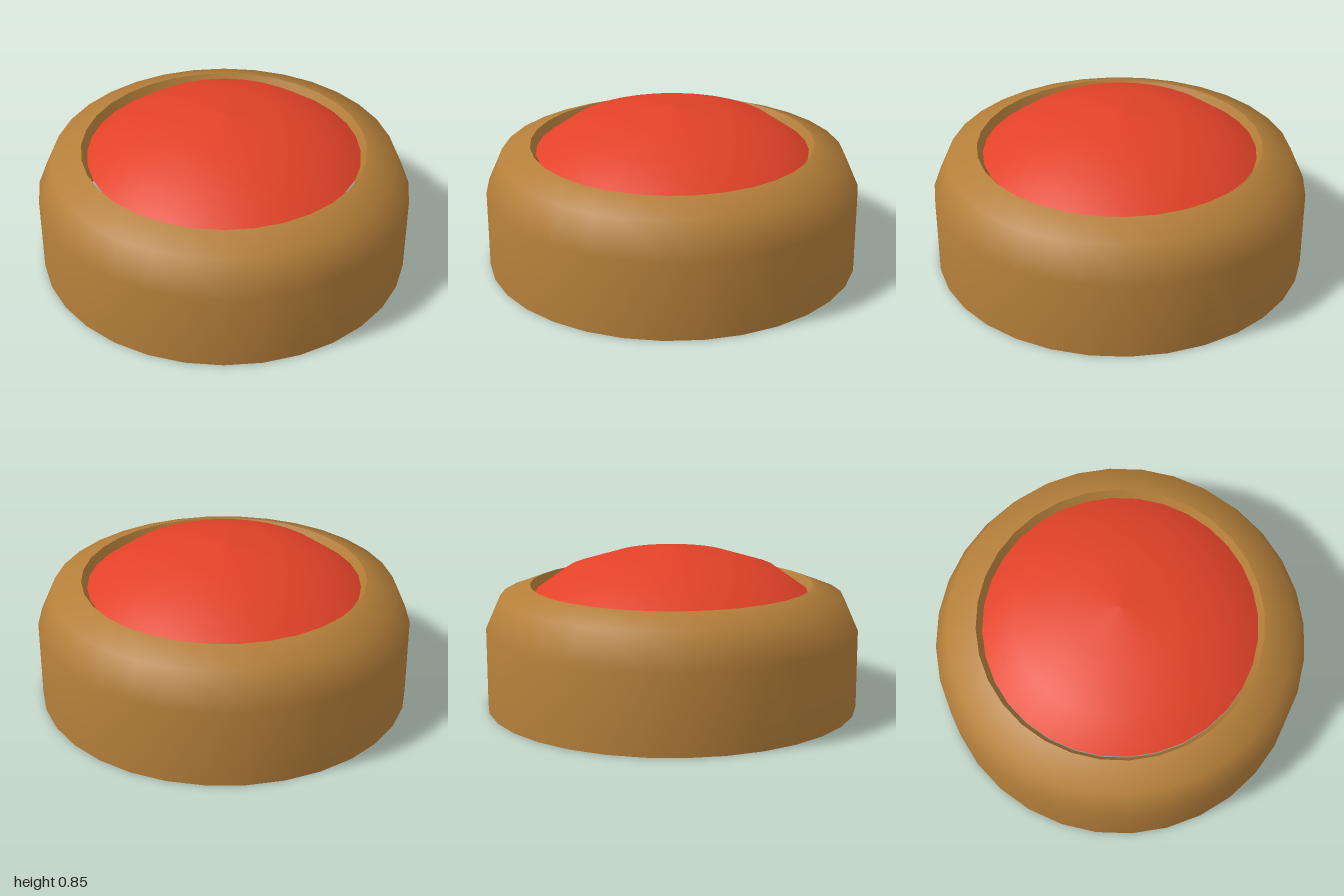
import * as THREE from 'three';

const SIDES = 32;

// Revolves a profile of [radius, height] points around the y axis.
function turned(name, profile, material) {
  const points = profile.map(([r, y]) => new THREE.Vector2(r, y));
  const mesh = new THREE.Mesh(new THREE.LatheGeometry(points, SIDES), material);
  mesh.name = name;
  return mesh;
}

export function createModel() {
  const brown = new THREE.MeshStandardMaterial({ color: 0xb57f3a, side: THREE.DoubleSide });
  brown.name = 'ochre brown';
  const red = new THREE.MeshStandardMaterial({ color: 0xe24228, side: THREE.DoubleSide });
  red.name = 'bright red';

  const group = new THREE.Group();
  group.name = 'pushButton';

  // Hollow housing with a rounded shoulder, open underneath
  group.add(turned('housing', [[1, 0], [1, 0.42], [0.92, 0.6], [0.76, 0.66]], brown));

  // Steep lip leading down to the cap, with a sharp upper edge
  group.add(turned('innerLip', [[0.76, 0.66], [0.73, 0.6]], brown));

  // Shallow domed cap
  group.add(turned('cap', [[0.73, 0.62], [0.56, 0.74], [0.3, 0.82], [0, 0.85]], red));

  return group;
}
